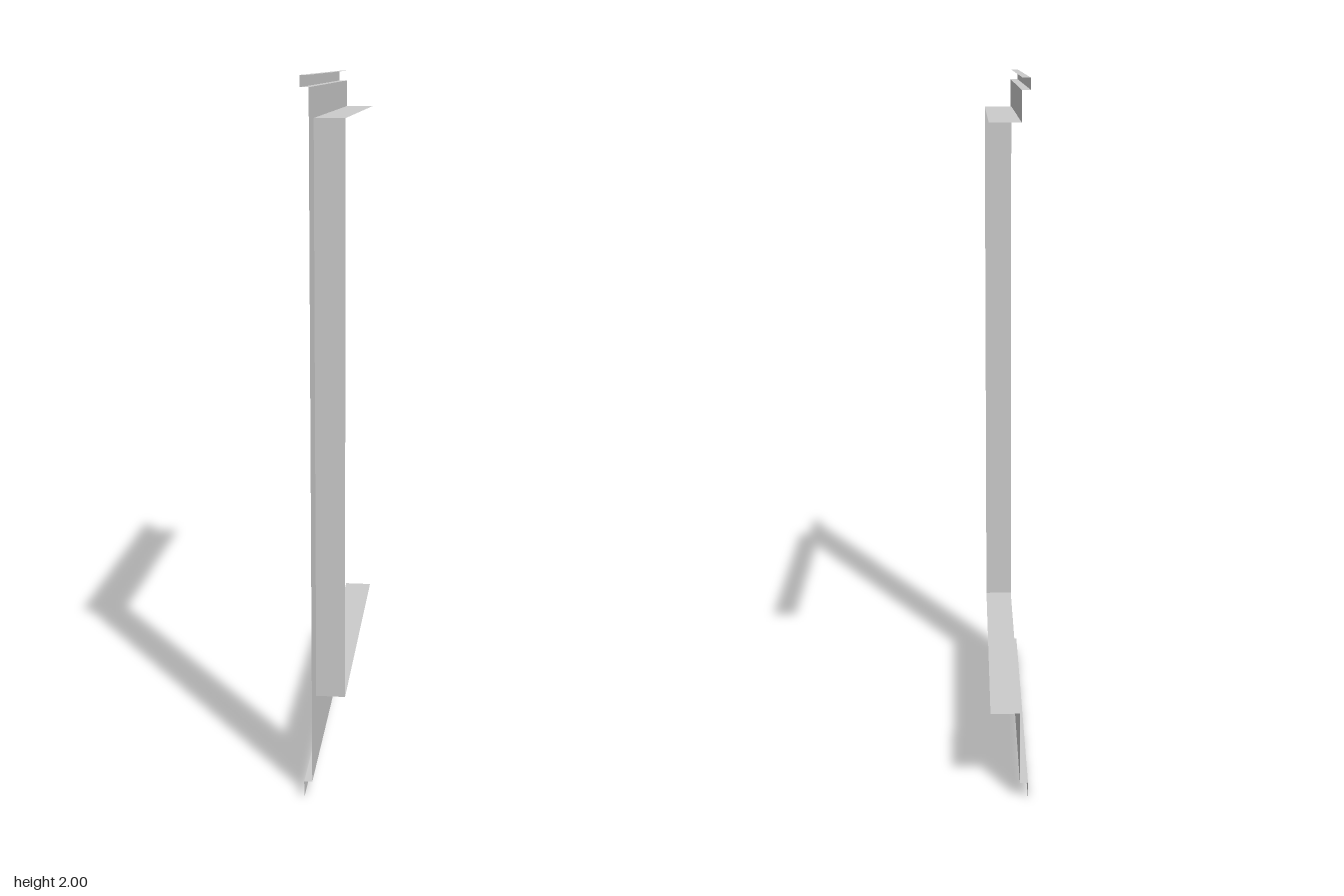
import * as THREE from 'three';

const material = new THREE.MeshStandardMaterial({ color: 0xcccccc, side: THREE.DoubleSide });

// Main dimensions of the folded sheet
const SHEET_X = -0.03, LIP_X = -0.053, FLANGE_X = 0.053;
const BACK = -0.505, FRONT = 0.505, REVEAL = 0.4;
const SILL = 0.265, HEAD = 1.89, LOW_FOLD = 0.05, HIGH_FOLD = 1.97, TOP = 2;

function part(name, geometry) {
  const mesh = new THREE.Mesh(geometry, material);
  mesh.name = name;
  return mesh;
}

// Sweeps an open profile of points along a vector, one flat panel per segment
function foldedStrip(points, sweep) {
  const positions = [];
  for (let i = 0; i < points.length - 1; i++) {
    const a = new THREE.Vector3(...points[i]);
    const b = new THREE.Vector3(...points[i + 1]);
    const c = b.clone().add(sweep);
    const d = a.clone().add(sweep);
    for (const p of [a, b, c, a, c, d]) positions.push(p.x, p.y, p.z);
  }
  const geometry = new THREE.BufferGeometry();
  geometry.setAttribute('position', new THREE.Float32BufferAttribute(positions, 3));
  geometry.computeVertexNormals();
  return geometry;
}

export function createModel() {
  const group = new THREE.Group();
  group.name = 'windowSurround';

  // C-shaped face sheet, drawn in (z, y) and turned to face sideways
  const outline = new THREE.Shape([
    [BACK, LOW_FOLD], [FRONT, LOW_FOLD], [FRONT, HIGH_FOLD], [BACK, HIGH_FOLD],
    [BACK, HEAD], [REVEAL, HEAD], [REVEAL, SILL], [BACK, SILL],
  ].map(([z, y]) => new THREE.Vector2(z, y)));
  const face = new THREE.ShapeGeometry(outline);
  face.rotateY(-Math.PI / 2);
  face.translate(SHEET_X, 0, 0);
  group.add(part('faceSheet', face));

  // Reveal flanges around the opening
  const alongReveal = new THREE.Vector3(0, 0, REVEAL - BACK);
  for (const [name, y] of [['sillFlange', SILL], ['headFlange', HEAD]]) {
    group.add(part(name, foldedStrip([[SHEET_X, y, BACK], [FLANGE_X, y, BACK]], alongReveal)));
  }
  group.add(part('jambFlange', foldedStrip(
    [[SHEET_X, SILL, REVEAL], [FLANGE_X, SILL, REVEAL]],
    new THREE.Vector3(0, HEAD - SILL, 0))));

  // Channel fold along the top and stepped drip lip along the bottom
  const alongSheet = new THREE.Vector3(0, 0, FRONT - BACK);
  group.add(part('topChannel', foldedStrip([
    [SHEET_X, HIGH_FOLD, BACK], [LIP_X, HIGH_FOLD, BACK],
    [LIP_X, TOP, BACK], [SHEET_X - 0.002, TOP, BACK],
  ], alongSheet)));
  group.add(part('bottomLip', foldedStrip([
    [SHEET_X, LOW_FOLD, BACK], [LIP_X, LOW_FOLD, BACK], [LIP_X, 0, BACK],
  ], alongSheet)));

  return group;
}
